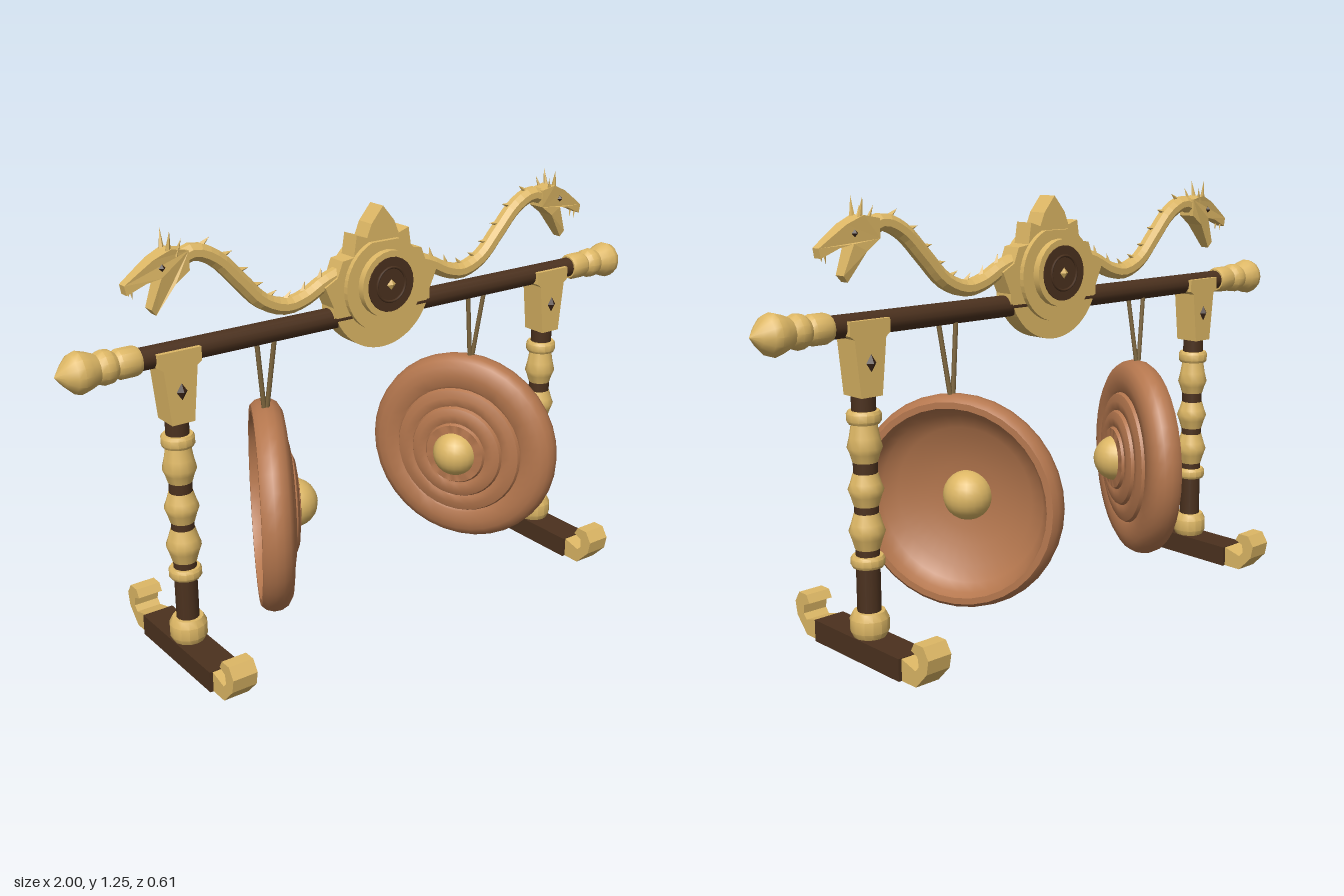
import * as THREE from 'three';
import { toCreasedNormals } from 'three/addons/utils/BufferGeometryUtils.js';

const mat = (name, color, opts = {}) => {
  const m = new THREE.MeshStandardMaterial({ color, ...opts });
  m.name = name;
  return m;
};

export function createModel() {
  const root = new THREE.Group();
  root.name = 'gongStand';
  const gold = mat('gold', 0xddb765);
  const goldFlat = mat('goldFaceted', 0xddb765, { flatShading: true });
  const wood = mat('darkWood', 0x4b311e);
  const bronze = mat('bronze', 0xb5774e);
  const rope = mat('rope', 0x80683f);
  const inlay = mat('darkInlay', 0x3a2518, { flatShading: true });

  const add = (parent, name, geo, material, x = 0, y = 0, z = 0) => {
    const m = new THREE.Mesh(geo, material);
    m.name = name;
    m.position.set(x, y, z);
    parent.add(m);
    return m;
  };
  const group = (name, parent = root) => {
    const g = new THREE.Group();
    g.name = name;
    parent.add(g);
    return g;
  };
  const v2 = (pts) => pts.map(([x, y]) => new THREE.Vector2(x, y));
  const lathe = (pts, seg = 14, crease = 0.6) =>
    toCreasedNormals(new THREE.LatheGeometry(v2(pts), seg), crease);
  // Extruded outline, centred in depth
  const plate = (shape, depth) => {
    const g = new THREE.ExtrudeGeometry(shape, { depth, bevelEnabled: false, curveSegments: 20 });
    return g.translate(0, 0, -depth / 2);
  };
  // Straight rod or cone between two points
  const rod = (parent, name, a, b, r0, r1, material, seg = 6) => {
    const p = new THREE.Vector3(...a), d = new THREE.Vector3(...b).sub(p);
    const m = add(parent, name, new THREE.CylinderGeometry(r1, r0, d.length(), seg), material);
    m.position.copy(p).addScaledVector(d, 0.5);
    m.quaternion.setFromUnitVectors(new THREE.Vector3(0, 1, 0), d.normalize());
    return m;
  };

  // Crossbeam with turned finials
  const beamY = 0.918;
  add(root, 'beam', new THREE.CylinderGeometry(0.031, 0.031, 1.58, 14).rotateZ(Math.PI / 2), wood, 0, beamY);
  const finial = lathe([[0, 0], [0.036, 0], [0.041, 0.012], [0.041, 0.056], [0.035, 0.066], [0.045, 0.08],
    [0.047, 0.1], [0.04, 0.118], [0.05, 0.142], [0.057, 0.166], [0.051, 0.184], [0.03, 0.206], [0, 0.23]]);
  for (const s of [-1, 1])
    add(root, 'finial', finial, gold, s * 0.77, beamY, 0).rotation.z = -s * Math.PI / 2;

  // Posts, brackets and feet
  const bulge = (y0, y1, ym, r) => lathe([[0, y0], [0.034, y0], [r * 0.86, ym - (ym - y0) * 0.4], [r, ym],
    [r * 0.86, ym + (y1 - ym) * 0.4], [0.034, y1], [0, y1]], 14, 0.9);
  const ring = (y0, y1, r) => lathe([[0, y0], [r * 0.9, y0], [r, y0 + 0.008], [r, y1 - 0.008], [r * 0.9, y1], [0, y1]]);
  const turnings = [ring(0.26, 0.292, 0.047), bulge(0.31, 0.41, 0.36, 0.05), bulge(0.43, 0.52, 0.475, 0.049),
    bulge(0.55, 0.66, 0.59, 0.048), ring(0.655, 0.69, 0.047)];
  const collar = lathe([[0, 0.062], [0.045, 0.062], [0.054, 0.08], [0.054, 0.115], [0.044, 0.135], [0, 0.135]]);
  const bracket = plate(new THREE.Shape(v2([[-0.034, 0.73], [0.034, 0.73], [0.05, 0.885], [0.064, 0.895],
    [0.064, 0.933], [-0.064, 0.933], [-0.064, 0.895], [-0.05, 0.885]])), 0.08);
  const scrollShape = new THREE.Shape(v2([[0.185, 0], [0.25, 0], [0.296, 0.048], [0.304, 0.088], [0.283, 0.12],
    [0.246, 0.12], [0.233, 0.097], [0.26, 0.086], [0.264, 0.06], [0.25, 0.045], [0.185, 0.063]]));
  const scroll = plate(scrollShape, 0.076).rotateY(-Math.PI / 2);
  for (const s of [-1, 1]) {
    const leg = group(s > 0 ? 'leftPost' : 'rightPost');
    leg.position.x = s * 0.668;
    add(leg, 'postCore', new THREE.CylinderGeometry(0.033, 0.033, 0.72, 14), wood, 0, 0.42);
    turnings.forEach((g) => add(leg, 'turning', g, gold));
    add(leg, 'collar', collar, gold);
    add(leg, 'bracket', bracket, goldFlat);
    add(leg, 'footBar', new THREE.BoxGeometry(0.096, 0.063, 0.385), wood, 0, 0.0315, 0.004);
    for (const f of [-1, 1]) {
      add(leg, 'footScroll', scroll, goldFlat, 0, 0, 0.003).rotation.y = f > 0 ? 0 : Math.PI;
      add(leg, 'stud', new THREE.OctahedronGeometry(1), inlay, 0, 0.82, f * 0.04).scale.set(0.016, 0.024, 0.012);
    }
  }

  // Gongs: hollow back, rolled rim, face stepping forward in ripples to a domed boss
  const gongGeo = lathe([[0, 0.07], [0.1, 0.066], [0.15, 0.052], [0.205, 0.034], [0.245, 0.012], [0.266, -0.018],
    [0.274, -0.044], [0.292, -0.044], [0.304, -0.03], [0.31, -0.008], [0.307, 0.014], [0.296, 0.033], [0.276, 0.045],
    [0.25, 0.049], [0.215, 0.046], [0.208, 0.042], [0.203, 0.052], [0.18, 0.06], [0.158, 0.06], [0.152, 0.057],
    [0.147, 0.067], [0.128, 0.075], [0.106, 0.074], [0.1, 0.071], [0.095, 0.08], [0.06, 0.084], [0, 0.084]],
    36, 0.7).rotateX(Math.PI / 2);
  for (const s of [-1, 1]) {
    const gong = group(s > 0 ? 'leftGong' : 'rightGong');
    gong.position.set(s * 0.367, 0.387, -0.025);
    gong.rotation.y = -s * 1.08;
    add(gong, 'gongPlate', gongGeo, bronze);
    add(gong, 'gongBoss', new THREE.SphereGeometry(0.072, 20, 14), gold, 0, 0, 0.066);
    for (const d of [-1, 1])
      rod(root, 'gongRope', [s * 0.38 + d * 0.003, 0.675, -0.015], [s * 0.382 + d * 0.023, 0.91, d * 0.012],
        0.007, 0.007, rope);
  }

  // Central crest: flame-topped plate, raised inner plate, round medallion on both faces
  const flame = [[0.172, 0.925], [0.172, 0.955], [0.2, 1.018], [0.158, 1.04], [0.14, 1.085], [0.102, 1.09],
    [0.092, 1.152], [0.056, 1.14], [0.04, 1.178]];
  const crest = new THREE.Shape();
  crest.moveTo(0, 1.225);
  [...flame].reverse().forEach(([x, y]) => crest.lineTo(x, y));
  crest.absarc(0, 0.985, 0.175, -0.35, -Math.PI + 0.35, true);
  flame.forEach(([x, y]) => crest.lineTo(-x, y));
  const inner = new THREE.Shape();
  inner.moveTo(0, 1.175);
  inner.absarc(0, 1.0, 0.137, 1.2, Math.PI - 1.2, true);
  const crestGroup = group('crest');
  add(crestGroup, 'crestPlate', plate(crest, 0.06), goldFlat);
  add(crestGroup, 'crestInnerPlate', plate(inner, 0.09), goldFlat);
  const disc = (name, r, depth, material) =>
    add(crestGroup, name, new THREE.CylinderGeometry(r, r, depth, 24).rotateX(Math.PI / 2), material, 0, 1.005);
  disc('medallionRim', 0.098, 0.134, gold);
  disc('medallionFace', 0.08, 0.14, wood);
  for (const f of [-1, 1]) {
    add(crestGroup, 'medallionRing', new THREE.TorusGeometry(0.05, 0.004, 6, 24), wood, 0, 1.005, f * 0.07);
    add(crestGroup, 'medallionStud', new THREE.OctahedronGeometry(1), goldFlat, 0, 1.005, f * 0.07)
      .scale.set(0.016, 0.016, 0.008);
  }

  // Serpents facing outward on each side
  const spine = [[0.13, 1.045], [0.19, 1.025], [0.25, 0.995], [0.315, 0.982], [0.39, 1.01], [0.46, 1.08], [0.53, 1.15],
    [0.595, 1.178], [0.65, 1.16]];
  const headPts = [[0.62, 1.19], [0.67, 1.2], [0.72, 1.178], [0.765, 1.147], [0.8, 1.122], [0.795, 1.096],
    [0.74, 1.12], [0.7, 1.128], [0.73, 1.048], [0.716, 1.03], [0.662, 1.108], [0.62, 1.138]];
  const bodySection = new THREE.Shape(v2([...Array(8).keys()].map((i) => {
    const a = (i + 0.5) * Math.PI / 4;
    return [0.025 * Math.cos(a), 0.025 * Math.sin(a)];
  })));
  for (const s of [-1, 1]) {
    const beast = group(s > 0 ? 'leftSerpent' : 'rightSerpent');
    const curve = new THREE.CatmullRomCurve3(spine.map(([x, y]) => new THREE.Vector3(s * x, y, 0)));
    add(beast, 'serpentBody', new THREE.ExtrudeGeometry(bodySection, { steps: 24, extrudePath: curve }), goldFlat);
    // Head wedge, narrowing toward the jaws
    const head = plate(new THREE.Shape(v2(headPts.map(([x, y]) => [s * x, y]))), 0.056);
    const p = head.attributes.position;
    for (let i = 0; i < p.count; i++) {
      const t = THREE.MathUtils.clamp((Math.abs(p.getX(i)) - 0.67) / 0.13, 0, 1);
      const drop = THREE.MathUtils.clamp((1.1 - p.getY(i)) / 0.07, 0, 1);
      p.setZ(i, p.getZ(i) * (1 - 0.5 * Math.max(t, drop)));
    }
    add(beast, 'serpentHead', head, goldFlat);
    // Back spikes leaning toward the tail
    for (let i = 1; i <= 8; i++) {
      const c = curve.getPointAt(i / 9.2), t = curve.getTangentAt(i / 9.2);
      const n = new THREE.Vector3(-t.y, t.x, 0).multiplyScalar(s);
      const a = c.clone().addScaledVector(n, 0.018);
      const b = c.clone().addScaledVector(n, 0.044).addScaledVector(t, -0.018);
      rod(beast, 'backSpike', a.toArray(), b.toArray(), 0.009, 0, goldFlat, 4);
    }
    for (const f of [-1, 1]) {
      add(beast, 'eye', new THREE.OctahedronGeometry(0.01), inlay, s * 0.697, 1.155, f * 0.025);
      rod(beast, 'horn', [s * 0.675, 1.185, f * 0.016], [s * 0.672, 1.248, f * 0.026], 0.009, 0, goldFlat, 5);
      rod(beast, 'browSpike', [s * 0.655, 1.18, f * 0.02], [s * 0.642, 1.225, f * 0.03], 0.008, 0, goldFlat, 5);
      rod(beast, 'fang', [s * 0.78, 1.108, f * 0.009], [s * 0.777, 1.082, f * 0.009], 0.005, 0, goldFlat, 4);
    }
  }
  return root;
}
